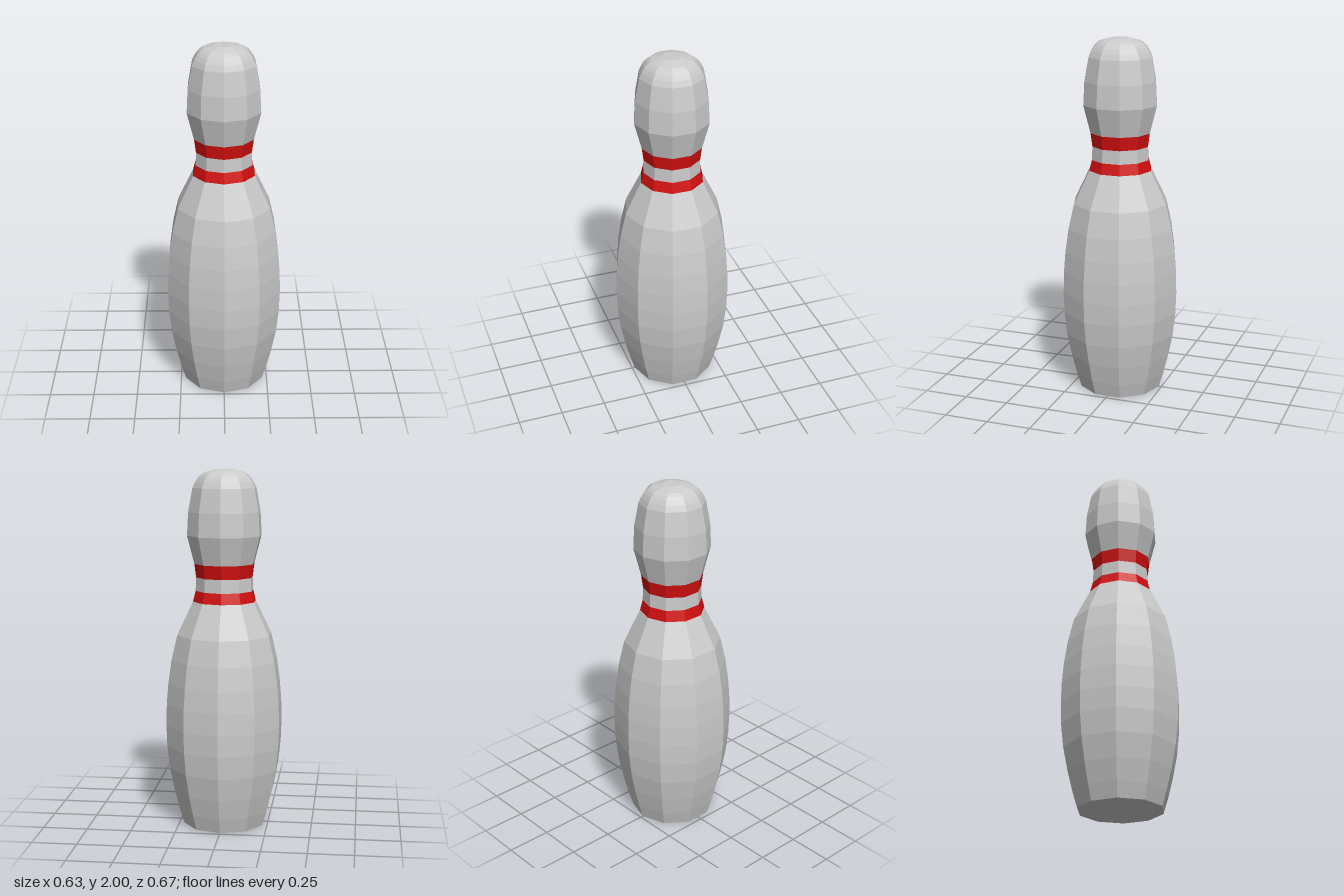
import * as THREE from 'three';

const SIDES = 10;

// Turned section of the pin: [radius, height] pairs from bottom to top
function turned(name, profile, material) {
  const points = profile.map(([r, y]) => new THREE.Vector2(r, y));
  const mesh = new THREE.Mesh(new THREE.LatheGeometry(points, SIDES), material);
  mesh.name = name;
  return mesh;
}

export function createModel() {
  const pin = new THREE.Group();
  pin.name = 'bowlingPin';
  const grey = new THREE.MeshStandardMaterial({ color: 0xcccccc, flatShading: true });
  const red = new THREE.MeshStandardMaterial({ color: 0xd40f0f, flatShading: true });

  // Section boundaries shared by neighbouring parts
  const shoulder = [0.178, 1.275];
  const neckLow = [0.163, 1.335];
  const neckHigh = [0.16, 1.41];
  const headBase = [0.17, 1.485];

  pin.add(
    // Closed flat base and swelling belly
    turned('body', [
      [0, 0], [0.234, 0], [0.26, 0.085], [0.289, 0.2], [0.315, 0.33], [0.329, 0.46], [0.333, 0.58],
      [0.33, 0.7], [0.32, 0.82], [0.301, 0.95], [0.268, 1.09], shoulder,
    ], grey),
    turned('lowerStripe', [shoulder, neckLow], red),
    turned('neck', [neckLow, neckHigh], grey),
    turned('upperStripe', [neckHigh, headBase], red),
    // Head with rounded crown and small flat top
    turned('head', [
      headBase, [0.21, 1.64], [0.203, 1.77], [0.179, 1.9], [0.165, 1.93], [0.15, 1.953],
      [0.134, 1.97], [0.115, 1.983], [0.05, 2], [0, 2],
    ], grey),
  );
  return pin;
}
